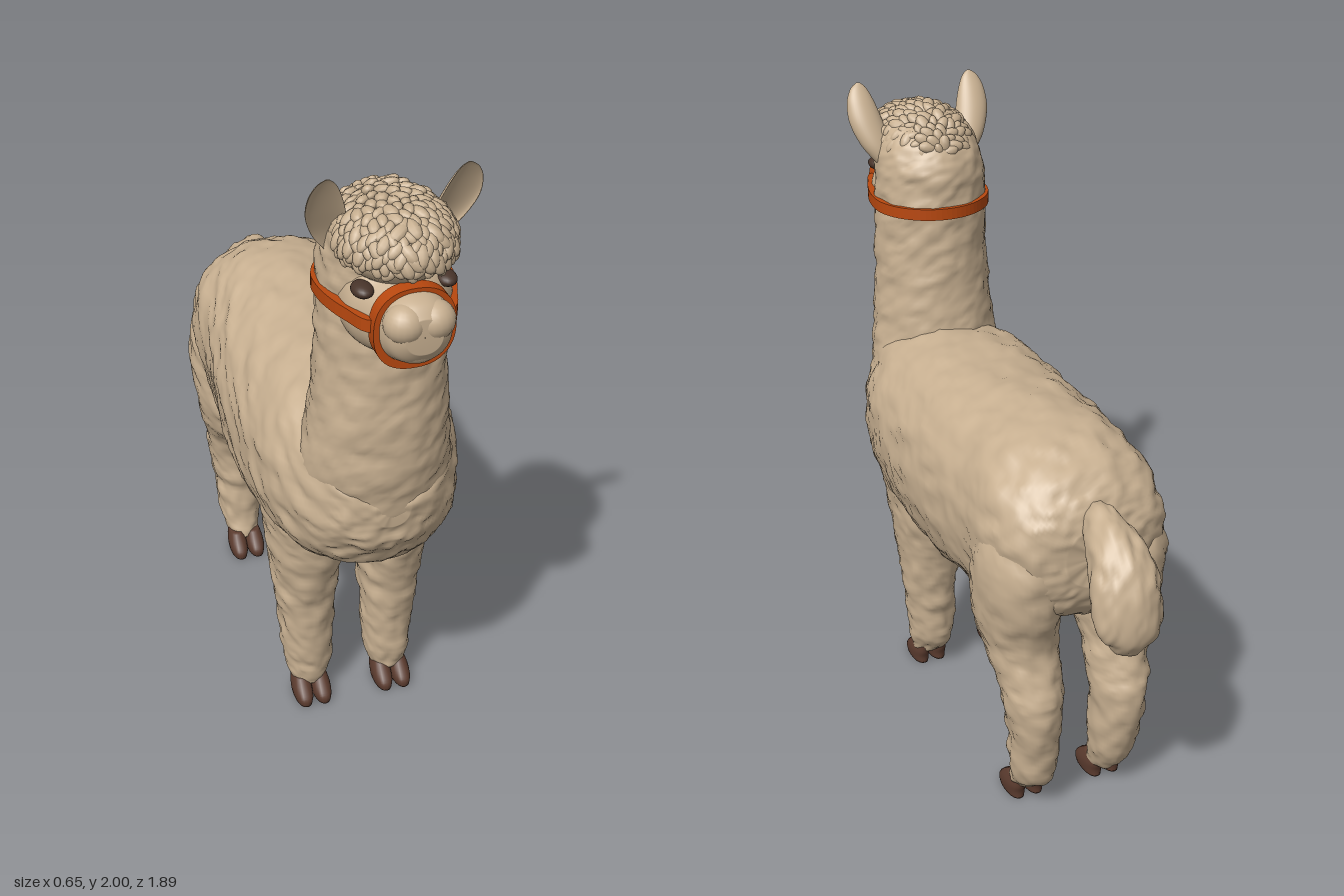
import * as THREE from 'three';
import { mergeGeometries } from 'three/addons/utils/BufferGeometryUtils.js';

const mat = (name, color, side = THREE.FrontSide) => {
  const m = new THREE.MeshStandardMaterial({ color, side });
  m.name = name;
  return m;
};

// Smooth 3D value noise, 0..1
const hash = (x, y, z) => {
  const s = Math.sin(x * 127.1 + y * 311.7 + z * 74.7) * 43758.5453;
  return s - Math.floor(s);
};
function noise(x, y, z) {
  const [i, j, k] = [x, y, z].map(Math.floor);
  const [u, v, w] = [x - i, y - j, z - k].map((f) => f * f * (3 - 2 * f));
  const l = THREE.MathUtils.lerp;
  const row = (b, c) => l(hash(i, b, c), hash(i + 1, b, c), u);
  return l(l(row(j, k), row(j + 1, k), v), l(row(j, k + 1), row(j + 1, k + 1), v), w);
}

// Catmull-Rom interpolation of a table of rows
function sample(rows, t) {
  const f = t * (rows.length - 1);
  const i = Math.min(Math.floor(f), rows.length - 2);
  const u = f - i;
  const at = (n) => rows[THREE.MathUtils.clamp(n, 0, rows.length - 1)];
  return rows[0].map((_, c) => {
    const [a, b, d, e] = [at(i - 1)[c], at(i)[c], at(i + 1)[c], at(i + 2)[c]];
    return b + 0.5 * u * (d - a + u * (2 * a - 5 * b + 4 * d - e + u * (3 * (b - d) + e - a)));
  });
}

// Closed loft; each row is [x, y, z, half width, half depth, tilt of the depth axis from y to z]
function loft(rows, { steps = 60, sides = 56, power = 2, amp = 0, freq = [14, 14, 14], cup = 0 } = {}) {
  const pos = [], idx = [];
  const sup = (v) => Math.sign(v) * Math.abs(v) ** (2 / power);
  for (let r = -1; r <= steps + 1; r++) {
    const [x, y, z, a, b, t] = sample(rows, THREE.MathUtils.clamp(r / steps, 0, 1));
    const k = r < 0 || r > steps ? 0.02 : 1;
    for (let s = 0; s < sides; s++) {
      const q = (s / sides) * Math.PI * 2;
      let v = sup(Math.sin(q));
      if (cup && v > 0) v *= -cup;
      const d = Math.max(b, 0.002) * v * k;
      pos.push(x + Math.max(a, 0.002) * sup(Math.cos(q)) * k, y + Math.cos(t) * d, z + Math.sin(t) * d);
    }
  }
  for (let r = 0; r < steps + 2; r++) for (let s = 0; s < sides; s++) {
    const a = r * sides + s, b = r * sides + ((s + 1) % sides);
    idx.push(a, b, a + sides, b, b + sides, a + sides);
  }
  // Turn the faces outwards by the sign of the enclosed volume
  const P = (i) => new THREE.Vector3().fromArray(pos, i * 3);
  let volume = 0;
  for (let i = 0; i < idx.length; i += 3) volume += P(idx[i]).dot(P(idx[i + 1]).cross(P(idx[i + 2])));
  if (volume < 0) idx.reverse();
  const g = new THREE.BufferGeometry();
  g.setAttribute('position', new THREE.Float32BufferAttribute(pos, 3));
  g.setIndex(idx);
  g.computeVertexNormals();
  if (amp) {
    // Woolly displacement along the normals
    const p = g.attributes.position, n = g.attributes.normal;
    for (let i = 0; i < p.count; i++) {
      const [x, y, z] = [p.getX(i), p.getY(i), p.getZ(i)];
      const c = [x * freq[0], (y + 0.35 * z) * freq[1], z * freq[2]];
      const d = amp * (1.4 * noise(...c) + 0.9 * noise(...c.map((v) => v * 2.3 + 9)) - 1.15);
      p.setXYZ(i, x + n.getX(i) * d, y + n.getY(i) * d, z + n.getZ(i) * d);
    }
    g.computeVertexNormals();
  }
  return g;
}

function ball(x, y, z, rx, ry, rz, w = 20, h = 14) {
  return new THREE.SphereGeometry(1, w, h).scale(rx, ry, rz).translate(x, y, z);
}

export function createModel() {
  const wool = mat('cream wool', 0xc8b091);
  const hoofBrown = mat('hoof brown', 0x5c3c2f);
  const eyeBrown = mat('eye dark brown', 0x48342a);
  const halterOrange = mat('halter orange', 0xb9480f);
  const model = new THREE.Group();
  const add = (name, geo, m) => {
    const mesh = new THREE.Mesh(geo, m);
    mesh.name = name;
    model.add(mesh);
  };
  const up = Math.PI / 2;

  // Body: rows of [z, top, bottom, half width]
  const body = [
    [0.735, 1.02, 0.9, 0.05], [0.715, 1.1, 0.82, 0.13], [0.64, 1.17, 0.715, 0.215], [0.52, 1.215, 0.645, 0.275],
    [0.38, 1.23, 0.61, 0.305], [0.2, 1.235, 0.585, 0.316], [0, 1.24, 0.575, 0.316], [-0.17, 1.245, 0.59, 0.305],
    [-0.32, 1.25, 0.615, 0.292], [-0.46, 1.235, 0.65, 0.292], [-0.58, 1.19, 0.69, 0.262],
    [-0.655, 1.12, 0.76, 0.2], [-0.685, 1.04, 0.85, 0.1],
  ].map(([z, t, b, a]) => [0, (t + b) / 2, z, a, (t - b) / 2, 0]);
  add('body', loft(body, { steps: 110, sides: 96, power: 2.3, amp: 0.013, freq: [16, 22, 8] }), wool);

  // Neck and skull
  const neck = [
    [0.75, 0.5, 0.15, 0.12], [0.9, 0.53, 0.21, 0.19], [1.05, 0.555, 0.225, 0.2], [1.2, 0.575, 0.204, 0.194],
    [1.35, 0.585, 0.192, 0.185], [1.5, 0.588, 0.185, 0.18], [1.63, 0.588, 0.18, 0.18], [1.74, 0.592, 0.175, 0.178],
    [1.81, 0.61, 0.165, 0.17], [1.865, 0.63, 0.135, 0.14], [1.9, 0.65, 0.08, 0.09],
  ].map(([y, z, a, b]) => [0, y, z, a, b, up]);
  add('neck', loft(neck, { steps: 110, sides: 80, amp: 0.008, freq: [18, 24, 18] }), wool);

  // Face and muzzle
  const face = [
    [0.6, 1.62, 0.155, 0.14], [0.72, 1.625, 0.153, 0.137], [0.78, 1.62, 0.128, 0.12], [0.83, 1.62, 0.104, 0.107],
    [0.87, 1.625, 0.096, 0.098], [0.905, 1.627, 0.083, 0.082], [0.93, 1.63, 0.05, 0.05],
  ].map(([z, y, a, b]) => [0, y, z, a, b, 0]);
  add('face', loft(face, { power: 2.2, steps: 40 }), wool);
  add('muzzleLips', mergeGeometries([
    ball(0.04, 1.655, 0.885, 0.058, 0.055, 0.055), ball(-0.04, 1.655, 0.885, 0.058, 0.055, 0.055),
    ball(0, 1.575, 0.875, 0.065, 0.045, 0.045),
  ]), wool);

  // Woolly crown with overlapping tufts
  add('crown', ball(0, 1.8, 0.7, 0.155, 0.105, 0.155, 32, 20), wool);
  const tufts = [];
  const count = 230;
  for (let i = 0; i < count; i++) {
    const h = 1 - (i + 0.5) / count * 1.25;
    const q = i * 2.39996, r = Math.sqrt(1 - h * h);
    const dir = new THREE.Vector3(Math.cos(q) * r, h, Math.sin(q) * r);
    if (dir.z < 0 && h < 0.1) continue;
    const size = 0.8 + 0.5 * hash(i, 3, 7);
    const g = new THREE.SphereGeometry(1, 9, 7).scale(0.017 * size, 0.028 * size, 0.014 * size);
    g.rotateZ((hash(i, 1, 2) - 0.5) * 1.6).rotateX(-0.35);
    g.applyQuaternion(new THREE.Quaternion().setFromUnitVectors(new THREE.Vector3(0, 0, 1), dir));
    tufts.push(g.translate(dir.x * 0.155, 1.803 + dir.y * 0.108, 0.68 + dir.z * (dir.z > 0 ? 0.185 : 0.23)));
  }
  add('crownTufts', mergeGeometries(tufts), wool);

  // Tail, curling over and down
  const tail = [
    [1.05, -0.6, 0.05, 0.06, 0], [1.045, -0.7, 0.06, 0.068, -0.1], [1.01, -0.78, 0.085, 0.08, -0.5],
    [0.94, -0.84, 0.108, 0.083, -0.95], [0.86, -0.868, 0.105, 0.075, -1.3], [0.79, -0.878, 0.08, 0.06, -1.45],
    [0.74, -0.87, 0.035, 0.03, -1.5],
  ].map(([y, z, a, b, t]) => [0, y, z, a, b, t]);
  add('tail', loft(tail, { amp: 0.014, freq: [32, 10, 10] }), wool);

  // Legs: rows of [y, z front, z back, x centre, half width]
  const frontLeg = [
    [0.98, 0.42, 0.24, 0.18, 0.07], [0.82, 0.475, 0.19, 0.165, 0.115], [0.68, 0.47, 0.165, 0.155, 0.118],
    [0.55, 0.45, 0.185, 0.143, 0.112], [0.4, 0.42, 0.21, 0.138, 0.1], [0.25, 0.405, 0.23, 0.136, 0.085],
    [0.12, 0.4, 0.245, 0.134, 0.073], [0.055, 0.385, 0.29, 0.134, 0.05],
  ];
  const hindLeg = [
    [1.08, -0.4, -0.58, 0.17, 0.06], [0.92, -0.315, -0.665, 0.165, 0.128], [0.76, -0.3, -0.655, 0.165, 0.132],
    [0.62, -0.32, -0.615, 0.16, 0.118], [0.5, -0.405, -0.635, 0.15, 0.1], [0.4, -0.45, -0.66, 0.145, 0.09],
    [0.27, -0.46, -0.645, 0.14, 0.08], [0.13, -0.455, -0.61, 0.136, 0.07], [0.055, -0.44, -0.545, 0.134, 0.048],
  ];
  for (const [side, s] of [['left', 1], ['right', -1]]) {
    for (const [end, rows, shift] of [['Front', frontLeg, 0], ['Hind', hindLeg, -0.82]]) {
      const leg = rows.map(([y, f, b, x, a]) => [s * x, y, (f + b) / 2, a, (f - b) / 2, up]);
      add(`${side}${end}Leg`, loft(leg, { steps: 70, amp: 0.01, freq: [18, 22, 18] }), wool);
      // Cloven hoof
      for (const toe of [-1, 1]) {
        const x = s * 0.136 + toe * 0.031;
        const hoof = [[0.002, 0.37, 0.027, 0.066], [0.025, 0.37, 0.031, 0.066], [0.05, 0.355, 0.03, 0.058], [0.078, 0.335, 0.022, 0.04]]
          .map(([y, z, a, b]) => [x, y, z + shift, a, b, up]);
        add(`${side}${end}Hoof`, loft(hoof, { steps: 12, sides: 20, power: 2.3 }), hoofBrown);
      }
    }

    // Cupped ear
    const ear = [
      [0.135, 1.75, 0.615, 0.032, 0.03], [0.162, 1.81, 0.64, 0.05, 0.045], [0.184, 1.88, 0.67, 0.055, 0.045],
      [0.193, 1.94, 0.692, 0.045, 0.033], [0.194, 1.98, 0.705, 0.027, 0.017], [0.192, 1.998, 0.71, 0.006, 0.005],
    ].map(([x, y, z, a, b]) => [s * x, y, z, a, b, up]);
    add(`${side}Ear`, loft(ear, { steps: 30, sides: 36, cup: 0.45 }), wool);

    // Eye
    add(`${side}Eye`, ball(s * 0.115, 1.704, 0.765, 0.03, 0.02, 0.042), eyeBrown);
  }

  // Halter: noseband around the muzzle and strap around the neck
  const slab = (points, depth) => {
    const curve = new THREE.CatmullRomCurve3(points.map(([x, y]) => new THREE.Vector3(x, y, 0)), true);
    const shape = new THREE.Shape(curve.getPoints(72).slice(0, -1).map((p) => new THREE.Vector2(p.x, p.y)));
    return new THREE.ExtrudeGeometry(shape, { depth, bevelEnabled: false });
  };
  const loop = [];
  for (let i = 0; i < 24; i++) {
    const q = (i / 24) * Math.PI * 2, f = (v) => Math.sign(v) * Math.abs(v) ** 0.85;
    loop.push([0.114 * f(Math.cos(q)), 1.618 + 0.118 * f(Math.sin(q))]);
  }
  add('noseband', slab(loop, 0.043).translate(0, 0, 0.815), halterOrange);
  const half = [[0.08, 0.413], [0.15, 0.467], [0.187, 0.54], [0.191, 0.61], [0.18, 0.68], [0.155, 0.755], [0.113, 0.835]];
  const strap = [[0, 0.395], ...half, ...half.map(([x, z]) => [-x, z]).reverse()];
  add('neckStrap', slab(strap, 0.037).rotateX(Math.PI / 2).translate(0, 1.648, 0), halterOrange);

  return model;
}
